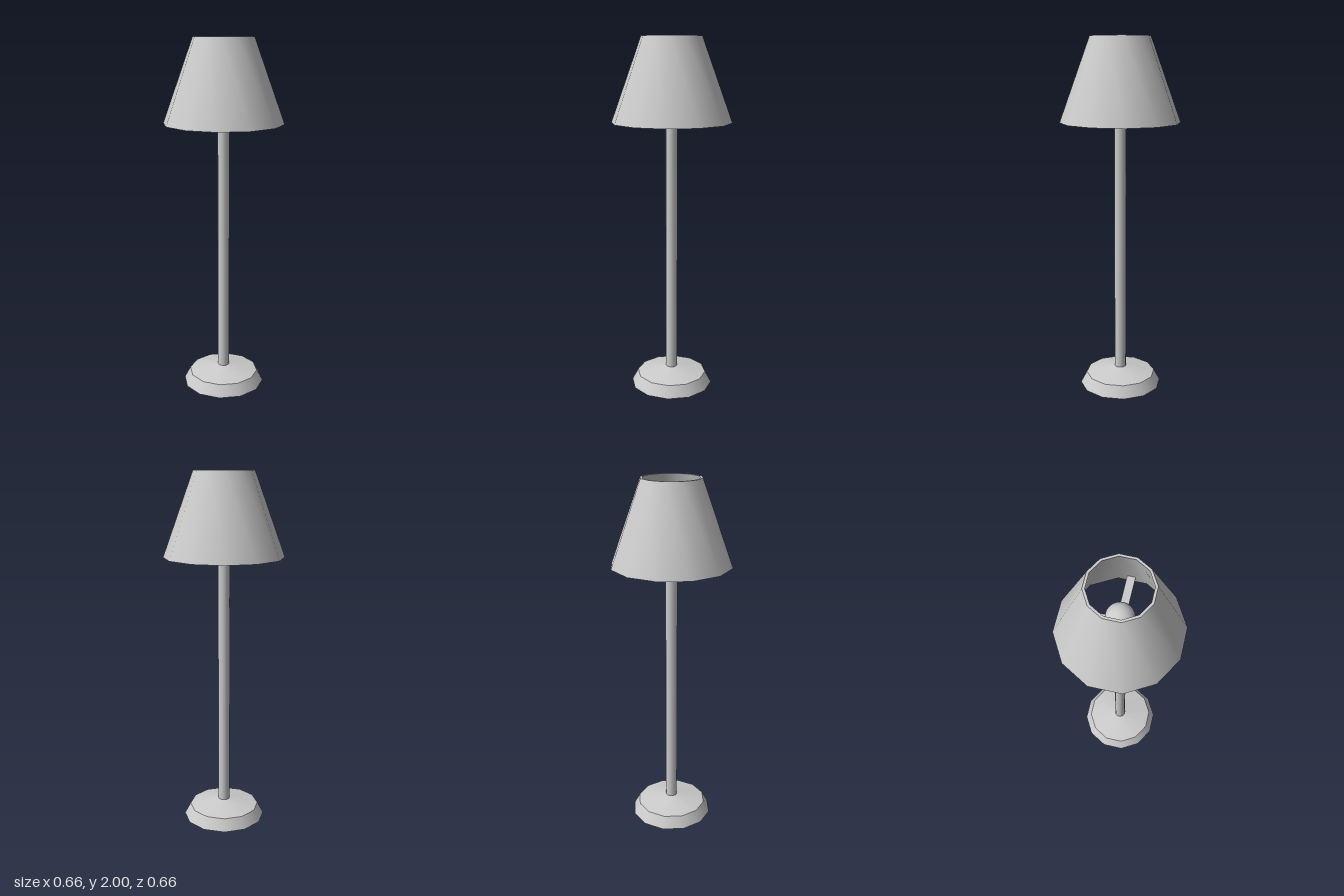
import * as THREE from 'three';
import { mergeGeometries } from 'three/addons/utils/BufferGeometryUtils.js';

const SIDES = 12;
const TURN = THREE.MathUtils.degToRad(20);
const solid = new THREE.MeshStandardMaterial({ color: 0xcccccc });
const thin = new THREE.MeshStandardMaterial({ color: 0xcccccc, side: THREE.DoubleSide });

// Turned part: smooth around the axis, sharp at every profile corner.
function turned(name, profile, material) {
  const bands = [];
  for (let i = 0; i < profile.length - 1; i++) {
    const pair = [profile[i], profile[i + 1]].map(([r, y]) => new THREE.Vector2(r, y));
    bands.push(new THREE.LatheGeometry(pair, SIDES, TURN));
  }
  const mesh = new THREE.Mesh(mergeGeometries(bands), material);
  mesh.name = name;
  return mesh;
}

export function createModel() {
  const lamp = new THREE.Group();
  lamp.name = 'floorLamp';

  // Hollow base, open underneath, and the open tube standing on it
  lamp.add(turned('base', [[0.235, 0], [0.2, 0.065], [0.033, 0.1]], thin));
  lamp.add(turned('pole', [[0.033, 0.1], [0.033, 1.6]], thin));

  // Socket hub that carries the bulb
  lamp.add(turned('hub', [[0, 1.59], [0.078, 1.59], [0.078, 1.645], [0, 1.645]], solid));

  const bulb = new THREE.Mesh(new THREE.SphereGeometry(0.073, 24, 16), solid);
  bulb.name = 'bulb';
  bulb.position.y = 1.69;
  lamp.add(bulb);

  // Four flat arms from the hub to the inside of the shade
  const arms = new THREE.Group();
  arms.name = 'shadeArms';
  for (let i = 0; i < 4; i++) {
    const geometry = new THREE.BoxGeometry(0.21, 0.014, 0.042);
    geometry.translate(0.17, 0, 0);
    const arm = new THREE.Mesh(geometry, solid);
    arm.name = 'shadeArm';
    arm.position.y = 1.632;
    arm.rotation.y = THREE.MathUtils.degToRad(35 + i * 90);
    arms.add(arm);
  }
  lamp.add(arms);

  // Thick-walled shade, open at both ends
  lamp.add(turned('shade', [
    [0.333, 1.54], [0.165, 2], [0.152, 2], [0.285, 1.54], [0.333, 1.54],
  ], solid));

  return lamp;
}
